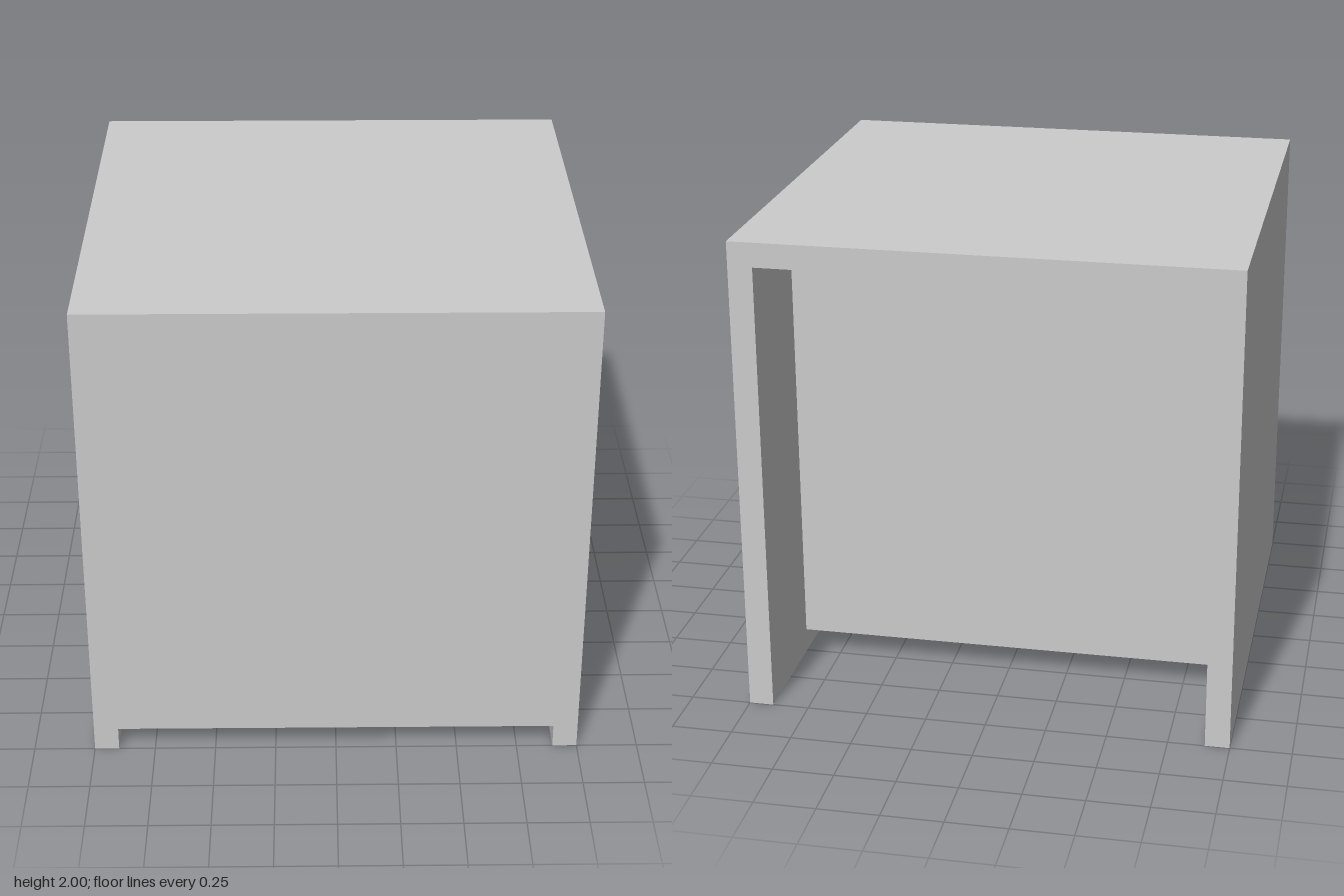
import * as THREE from 'three';

const T = 0.1; // board thickness
const material = new THREE.MeshStandardMaterial({ color: 0xcccccc });

function addPart(group, name, geometry) {
  const mesh = new THREE.Mesh(geometry, material);
  mesh.name = name;
  group.add(mesh);
  return mesh;
}

export function createModel() {
  const group = new THREE.Group();
  group.name = 'cabinet';

  // Top and both sides as one inverted U, running front to back
  const inner = 1 - T;
  const profile = new THREE.Shape([
    [-1, 0], [-inner, 0], [-inner, 2 - T], [inner, 2 - T],
    [inner, 0], [1, 0], [1, 2], [-1, 2],
  ].map(([x, y]) => new THREE.Vector2(x, y)));
  const shell = new THREE.ExtrudeGeometry(profile, { depth: 2, bevelEnabled: false });
  addPart(group, 'shell', shell.translate(0, 0, -1));

  // Upright panels across the inside, raised off the ground
  const bottom = 0.1;
  const height = 2 - T - bottom;
  const panels = { frontPanel: 0.95, middlePanel: 0.23, backPanel: -0.45 };
  for (const [name, z] of Object.entries(panels)) {
    const panel = addPart(group, name, new THREE.BoxGeometry(2 * inner, height, T));
    panel.position.set(0, bottom + height / 2, z);
  }

  return group;
}
